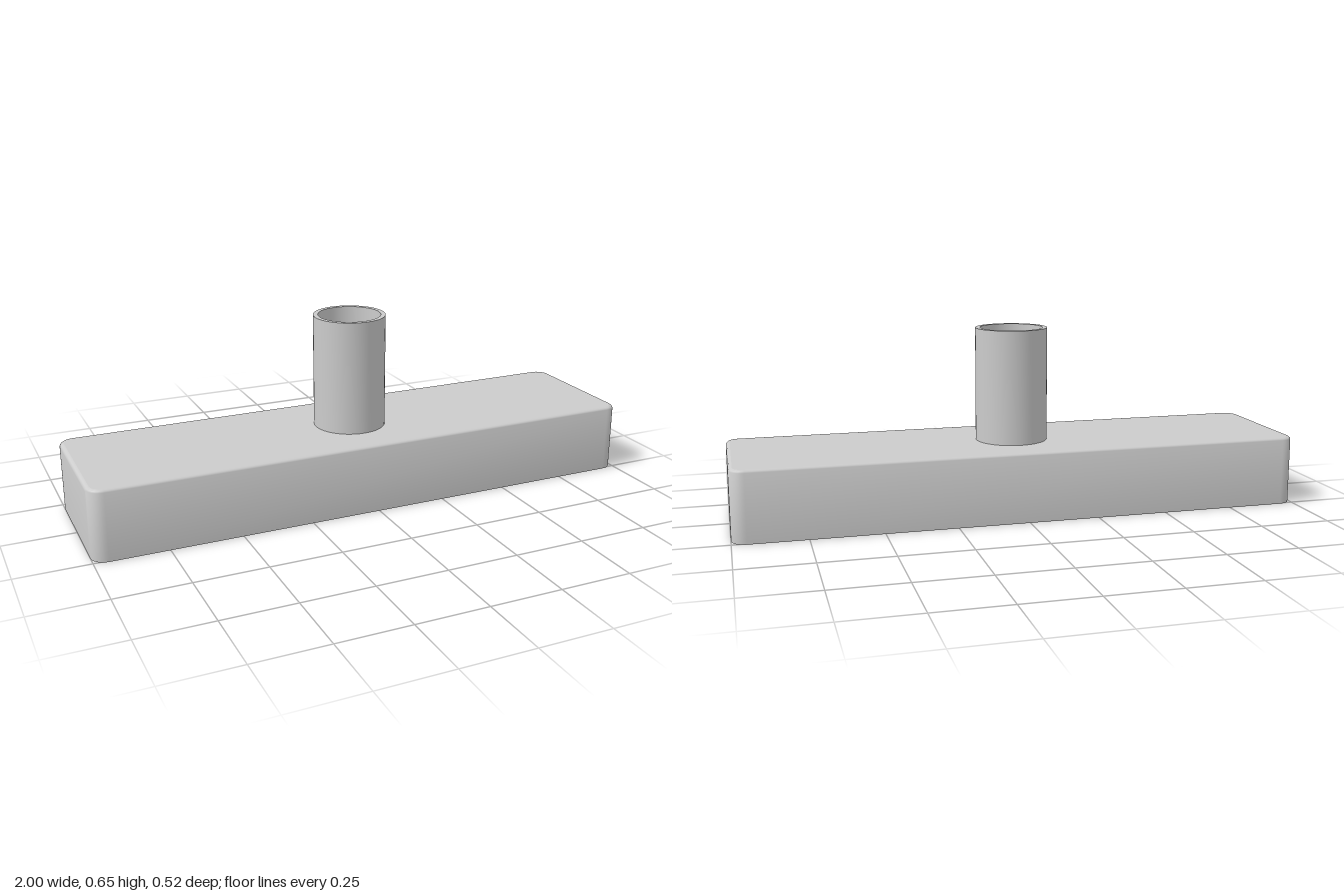
import * as THREE from 'three';
import { toCreasedNormals } from 'three/addons/utils/BufferGeometryUtils.js';

const ARC = 8; // steps per rounded corner

// Rounded rectangle loop; with equal half sizes and radius it is a circle
function ring(hx, hz, r, y) {
  const pts = [];
  for (let q = 0; q < 4; q++) {
    const sx = q === 0 || q === 3 ? 1 : -1;
    const sz = q < 2 ? 1 : -1;
    for (let i = 0; i <= ARC; i++) {
      const a = (q + i / ARC) * Math.PI / 2;
      pts.push([sx * (hx - r) + r * Math.cos(a), y, sz * (hz - r) + r * Math.sin(a)]);
    }
  }
  return pts;
}

// Skin over successive loops
function loft(rings, crease) {
  const n = rings[0].length;
  const index = [];
  for (let k = 0; k < rings.length - 1; k++) {
    for (let j = 0; j < n; j++) {
      const a = k * n + j, b = k * n + (j + 1) % n;
      index.push(a, a + n, b, a + n, b + n, b);
    }
  }
  const geo = new THREE.BufferGeometry();
  geo.setAttribute('position', new THREE.Float32BufferAttribute(rings.flat(2), 3));
  geo.setIndex(index);
  return toCreasedNormals(geo.toNonIndexed(), crease);
}

export function createModel() {
  const group = new THREE.Group();
  const material = new THREE.MeshStandardMaterial({ color: 0xcccccc, side: THREE.DoubleSide });
  const add = (name, geo) => {
    const mesh = new THREE.Mesh(geo, material);
    mesh.name = name;
    group.add(mesh);
  };

  const HX = 1, HZ = 0.258, H = 0.245, R = 0.05, WALL = 0.014, FILLET = 0.014;
  const TUBE = 0.128, BORE = 0.111, THROAT = 0.215;

  // Outer shell: rim, walls and softened top edge
  const shell = [ring(HX - WALL, HZ - WALL, R - WALL, 0), ring(HX, HZ, R, 0)];
  for (let i = 0; i <= 4; i++) {
    const a = i / 4 * Math.PI / 2, inset = FILLET * (1 - Math.cos(a));
    shell.push(ring(HX - inset, HZ - inset, R - inset, H - FILLET + FILLET * Math.sin(a)));
  }
  add('hoodShell', loft(shell, 0.7));

  // Flat top around the tube
  add('hoodTop', loft([shell[shell.length - 1], ring(TUBE, TUBE, TUBE, H)], 0.5));

  // Funnel underside: long sides lean in to the throat, ends stay upright
  add('hoodCavity', loft([
    ring(TUBE, TUBE, TUBE, THROAT),
    ring(0.975, 0.175, 0.03, 0.143),
    ring(HX - WALL, HZ - WALL, R - WALL, 0),
  ], 0.6));

  // Open tube with a short flared throat
  const profile = [
    [TUBE, THROAT], [TUBE, 0.648], [BORE, 0.648], [BORE, H], [TUBE, THROAT],
  ].map(([x, y]) => new THREE.Vector2(x, y));
  add('tube', toCreasedNormals(new THREE.LatheGeometry(profile, 48).toNonIndexed(), 0.5));

  return group;
}
